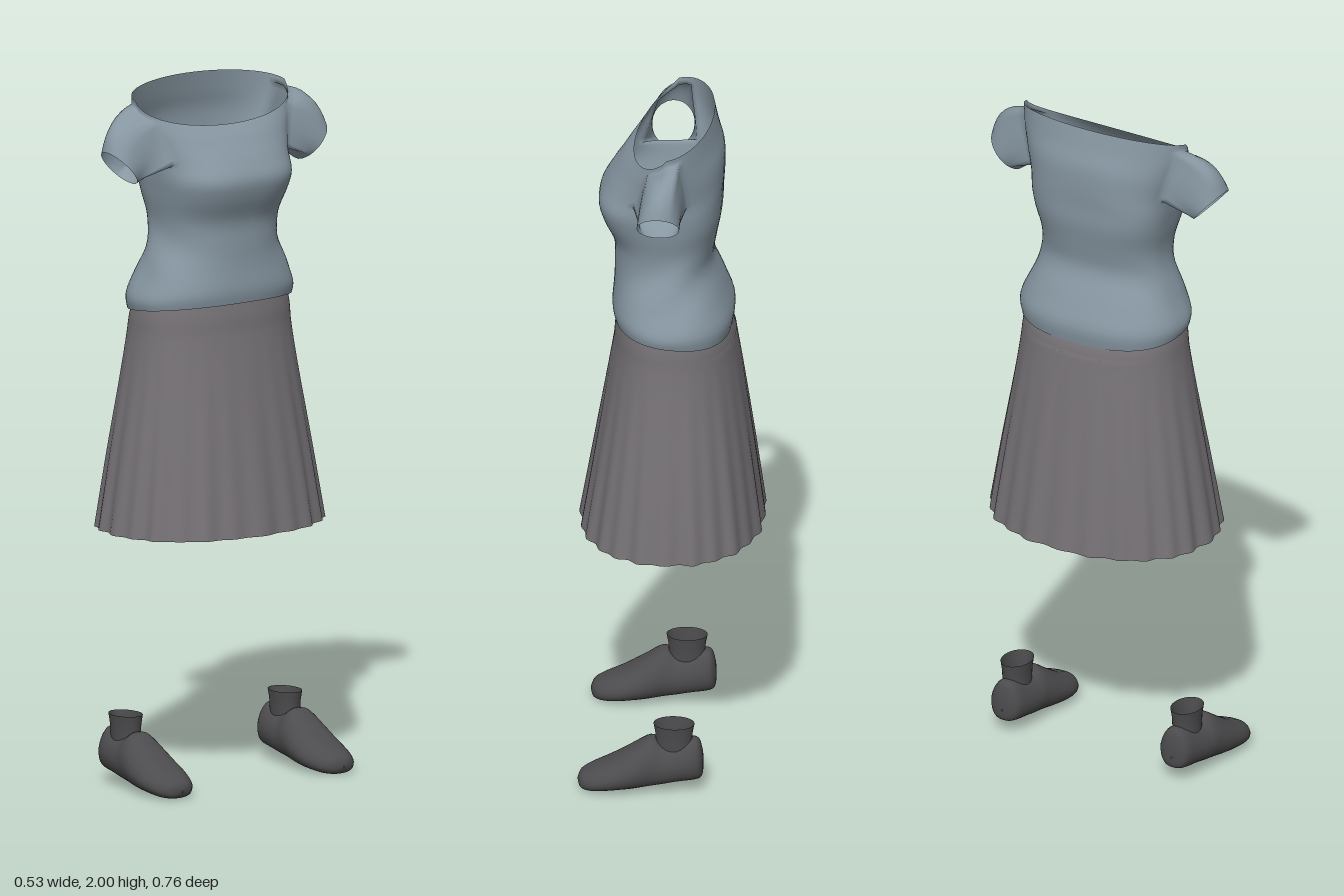
import * as THREE from 'three';
import { mergeVertices } from 'three/addons/utils/BufferGeometryUtils.js';

const cloth = (color, name) => {
  const m = new THREE.MeshStandardMaterial({ color, side: THREE.DoubleSide });
  m.name = name;
  return m;
};

// Smoothly interpolate a table of cross-section parameters
function refine(rows, steps) {
  const out = [];
  for (let i = 0; i < rows.length - 1; i++) {
    const p = rows[Math.max(0, i - 1)], a = rows[i], b = rows[i + 1], n = rows[Math.min(rows.length - 1, i + 2)];
    for (let s = 0; s < steps; s++) {
      const t = s / steps;
      out.push(a.map((v, k) => v + 0.5 * t * (b[k] - p[k]
        + t * (2 * p[k] - 5 * v + 4 * b[k] - n[k] + t * (3 * (v - b[k]) + n[k] - p[k])))));
    }
  }
  out.push(rows[rows.length - 1]);
  return out;
}

const spow = (v, e) => Math.sign(v) * Math.pow(Math.abs(v), e);

// Join closed rings of points with triangles, leaving out cells where skip(r, c) is true
function skin(pos, rings, flip = false, skip = () => false) {
  const n = rings[0].length;
  for (let r = 0; r < rings.length - 1; r++) {
    for (let c = 0; c < n; c++) {
      if (skip(r, c)) continue;
      const a = rings[r][c], b = rings[r][(c + 1) % n], d = rings[r + 1][c], e = rings[r + 1][(c + 1) % n];
      const tris = flip ? [a, b, d, b, e, d] : [a, d, b, b, d, e];
      for (const v of tris) pos.push(v.x, v.y, v.z);
    }
  }
}

function toGeometry(pos) {
  const raw = new THREE.BufferGeometry();
  raw.setAttribute('position', new THREE.Float32BufferAttribute(pos, 3));
  const g = mergeVertices(raw, 1e-5);
  g.computeVertexNormals();
  return g;
}

// Blouse: torso rings with armholes, and sleeves grown from the armhole edges
function blouseGeometry() {
  // back y, front y, side y, back x, front x, half width, squareness
  const rows = refine([
    [1.345, 1.385, 1.365, -0.170, 0.163, 0.248, 2.4],
    [1.400, 1.420, 1.400, -0.175, 0.168, 0.252, 2.4],
    [1.470, 1.480, 1.470, -0.150, 0.165, 0.226, 2.3],
    [1.550, 1.550, 1.550, -0.119, 0.162, 0.195, 2.3],
    [1.620, 1.620, 1.620, -0.125, 0.166, 0.190, 2.4],
    [1.700, 1.690, 1.690, -0.140, 0.195, 0.203, 2.7],
    [1.760, 1.745, 1.740, -0.143, 0.207, 0.212, 2.8],
    [1.820, 1.795, 1.795, -0.147, 0.184, 0.220, 2.5],
    [1.885, 1.835, 1.860, -0.146, 0.157, 0.240, 2.2],
    [1.940, 1.865, 1.920, -0.132, 0.135, 0.258, 2.0],
    [2.000, 1.893, 1.970, -0.118, 0.108, 0.263, 2.0],
  ], 4);
  const N = 64;
  const rings = rows.map(([yB, yF, yS, xB, xF, zh, e]) => Array.from({ length: N }, (_, c) => {
    const t = c / N * Math.PI * 2, u = Math.cos(t), k = Math.abs(u);
    const y = u > 0 ? yS + (yF - yS) * Math.pow(k, 0.8) : yS + (yB - yS) * k;
    const waist = Math.exp(-(((y - 1.52) / 0.12) ** 2));
    const fold = 1 + 0.014 * waist * Math.sin(5 * u + 42 * y) * (1 - 0.6 * k);
    const px = Math.pow(k, 2 / e) * (u > 0 ? xF : xB);
    return new THREE.Vector3(px * fold, y, spow(Math.sin(t), 2 / e) * zh * fold);
  }));

  const r0 = 28, r1 = 38, c0 = 11, c1 = 19;
  const pos = [];
  skin(pos, rings, false, (r, c) => {
    const m = c < N / 2 ? c : N - 1 - c;
    return r >= r0 && r < r1 && m >= c0 && m < c1;
  });

  // Armhole edge, walked once around
  const edge = [];
  for (let c = c1; c > c0; c--) edge.push(rings[r0][c]);
  for (let r = r0; r < r1; r++) edge.push(rings[r][c0]);
  for (let c = c0; c < c1; c++) edge.push(rings[r1][c]);
  for (let r = r1; r > r0; r--) edge.push(rings[r][c1]);

  const steps = 8;
  const sleeve = Array.from({ length: steps + 1 }, (_, i) => edge.map(p => {
    const t = i / steps, a = Math.atan2((p.y - 1.875) / 0.07, (p.x - 0.02) / 0.06);
    const s = Math.sin(a);
    const q = p.clone().lerp(new THREE.Vector3(0.02 + 0.06 * Math.cos(a), 1.79 + 0.05 * s, 0.335 + 0.045 * s), t);
    const bulge = 4 * t * (1 - t) * Math.max(0, s);
    q.y += 0.025 * bulge;
    q.z += 0.02 * bulge;
    return q;
  }));
  skin(pos, sleeve, true);
  skin(pos, sleeve.map(ring => ring.map(p => new THREE.Vector3(p.x, p.y, -p.z))), false);
  return toGeometry(pos);
}

// Skirt: flared rings whose pleats deepen towards the hem
function skirtGeometry() {
  // y, back x, front x, half width
  const rows = refine([
    [0.73, -0.260, 0.258, 0.338],
    [0.95, -0.232, 0.222, 0.304],
    [1.15, -0.204, 0.189, 0.270],
    [1.28, -0.184, 0.168, 0.251],
    [1.34, -0.174, 0.160, 0.246],
    [1.375, -0.160, 0.154, 0.240],
  ], 5);
  const N = 160;
  const rings = rows.map(([y, xB, xF, zh]) => Array.from({ length: N }, (_, c) => {
    const t = c / N * Math.PI * 2, u = Math.cos(t), depth = Math.max(0, (1.3 - y) / 0.57);
    const f = 1 + depth * (0.016 * Math.cos(24 * t) + 0.008 * Math.sin(13 * t + 1));
    return new THREE.Vector3(
      Math.pow(Math.abs(u), 0.9) * (u > 0 ? xF : xB) * f,
      y + (y > 1.32 ? 0.012 * u : 0),
      spow(Math.sin(t), 0.9) * zh * f);
  }));
  const pos = [];
  skin(pos, rings);
  return toGeometry(pos);
}

// Shoe: closed sections from heel to toe, wide at the sole and narrow on top
function shoeGeometry() {
  // x, sole y, top y, half width, centre z
  const rows = refine([
    [-0.105, 0.075, 0.080, 0.002, 0.283],
    [-0.102, 0.050, 0.125, 0.028, 0.283],
    [-0.085, 0.040, 0.163, 0.048, 0.283],
    [-0.030, 0.033, 0.152, 0.058, 0.283],
    [0.010, 0.026, 0.150, 0.063, 0.284],
    [0.045, 0.020, 0.164, 0.068, 0.285],
    [0.100, 0.013, 0.130, 0.077, 0.285],
    [0.160, 0.008, 0.092, 0.077, 0.285],
    [0.210, 0.004, 0.068, 0.063, 0.287],
    [0.240, 0.008, 0.051, 0.038, 0.288],
    [0.250, 0.026, 0.030, 0.002, 0.288],
  ], 4);
  const N = 32;
  const rings = rows.map(([x, y0, y1, w, z]) => Array.from({ length: N }, (_, c) => {
    const t = c / N * Math.PI * 2, h = spow(Math.sin(t), 0.75);
    const taper = 1 - 0.3 * Math.max(0, h) * Math.min(1, (y1 - y0) / 0.1);
    return new THREE.Vector3(x, (y0 + y1) / 2 + h * (y1 - y0) / 2, z - 0.003 + spow(Math.cos(t), 0.75) * w * taper);
  }));
  const pos = [];
  skin(pos, rings);
  return toGeometry(pos);
}

// Ankle cuff: short open tube with a slightly flared rim
function cuffGeometry() {
  const g = new THREE.LatheGeometry([[0.050, 0.11], [0.051, 0.15], [0.053, 0.18], [0.058, 0.207]]
    .map(([r, y]) => new THREE.Vector2(r, y)), 28);
  g.scale(1, 1, 0.74);
  g.translate(-0.022, 0, 0.281);
  return g;
}

export function createModel() {
  const group = new THREE.Group();
  const blue = cloth(0x8797a2, 'blue grey fabric');
  const grey = cloth(0x767276, 'warm grey fabric');
  const dark = cloth(0x4c4b4d, 'charcoal leather');

  const add = (parent, geometry, material, name) => {
    const mesh = new THREE.Mesh(geometry, material);
    mesh.name = name;
    parent.add(mesh);
  };
  add(group, blouseGeometry(), blue, 'blouse');
  add(group, skirtGeometry(), grey, 'skirt');

  // Mirrored pair of shoes
  const shoe = shoeGeometry(), cuff = cuffGeometry();
  for (const side of [1, -1]) {
    const foot = new THREE.Group();
    foot.name = side > 0 ? 'shoeAtPositiveZ' : 'shoeAtNegativeZ';
    foot.scale.z = side;
    add(foot, shoe, dark, 'shoeBody');
    add(foot, cuff, dark, 'ankleCuff');
    group.add(foot);
  }
  return group;
}
